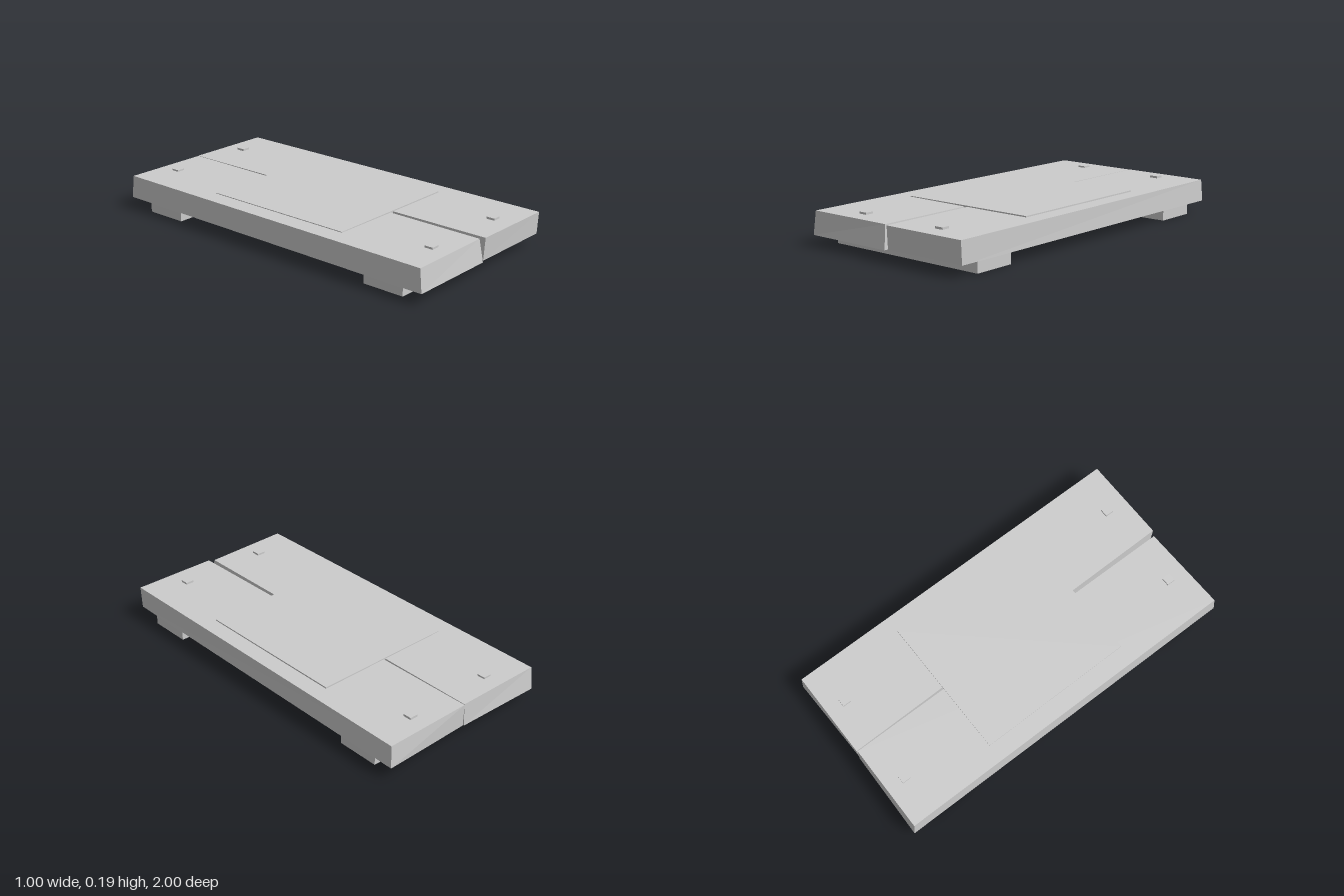
import * as THREE from 'three';

const grey = new THREE.MeshStandardMaterial({ color: 0xcccccc });
grey.name = 'plain grey';

function box(name, x0, x1, y0, y1, z0, z1) {
  const mesh = new THREE.Mesh(new THREE.BoxGeometry(x1 - x0, y1 - y0, z1 - z0), grey);
  mesh.position.set((x0 + x1) / 2, (y0 + y1) / 2, (z0 + z1) / 2);
  mesh.name = name;
  return mesh;
}

// A slightly crooked plank: corners [x, y, z] in the order
// back-right, back-left, front-left, front-right (right is -x)
function plank(name, bottom, top) {
  const geo = new THREE.BoxGeometry(1, 1, 1);
  const p = geo.attributes.position;
  for (let i = 0; i < p.count; i++) {
    const ring = p.getY(i) > 0 ? top : bottom;
    const left = p.getX(i) > 0;
    const corner = p.getZ(i) > 0 ? (left ? 2 : 3) : (left ? 1 : 0);
    p.setXYZ(i, ...ring[corner]);
  }
  const flat = geo.toNonIndexed();
  flat.computeVertexNormals();
  const mesh = new THREE.Mesh(flat, grey);
  mesh.name = name;
  return mesh;
}

export function createModel() {
  const model = new THREE.Group();
  model.name = 'plankPlatform';

  // Two planks with a narrow gap between them
  model.add(
    plank('rightPlank',
      [[-0.49, 0.06, -1.0], [0, 0.06, -0.99], [0, 0.058, 0.994], [-0.5, 0.06, 1.0]],
      [[-0.486, 0.184, -0.988], [0, 0.182, -0.985], [-0.011, 0.18, 0.976], [-0.495, 0.183, 0.986]]),
    plank('leftPlank',
      [[0.004, 0.06, -0.986], [0.499, 0.06, -0.997], [0.492, 0.062, 0.986], [0.014, 0.06, 0.985]],
      [[0.004, 0.182, -0.989], [0.493, 0.179, -0.989], [0.493, 0.181, 0.993], [0.016, 0.181, 0.993]]));

  // Thin plate on top
  model.add(box('topPlate', -0.39, 0.4, 0.172, 0.187, -0.44, 0.43));

  // Cross beams underneath
  model.add(box('frontBeam', -0.47, 0.48, 0, 0.061, 0.635, 0.87));
  model.add(box('backBeam', -0.47, 0.48, 0, 0.061, -0.87, -0.635));

  // Square nail heads
  for (const x of [-0.254, 0.26])
    for (const z of [-0.88, 0.87])
      model.add(box('nailHead', x - 0.023, x + 0.023, 0.17, 0.192, z - 0.023, z + 0.023));

  return model;
}
